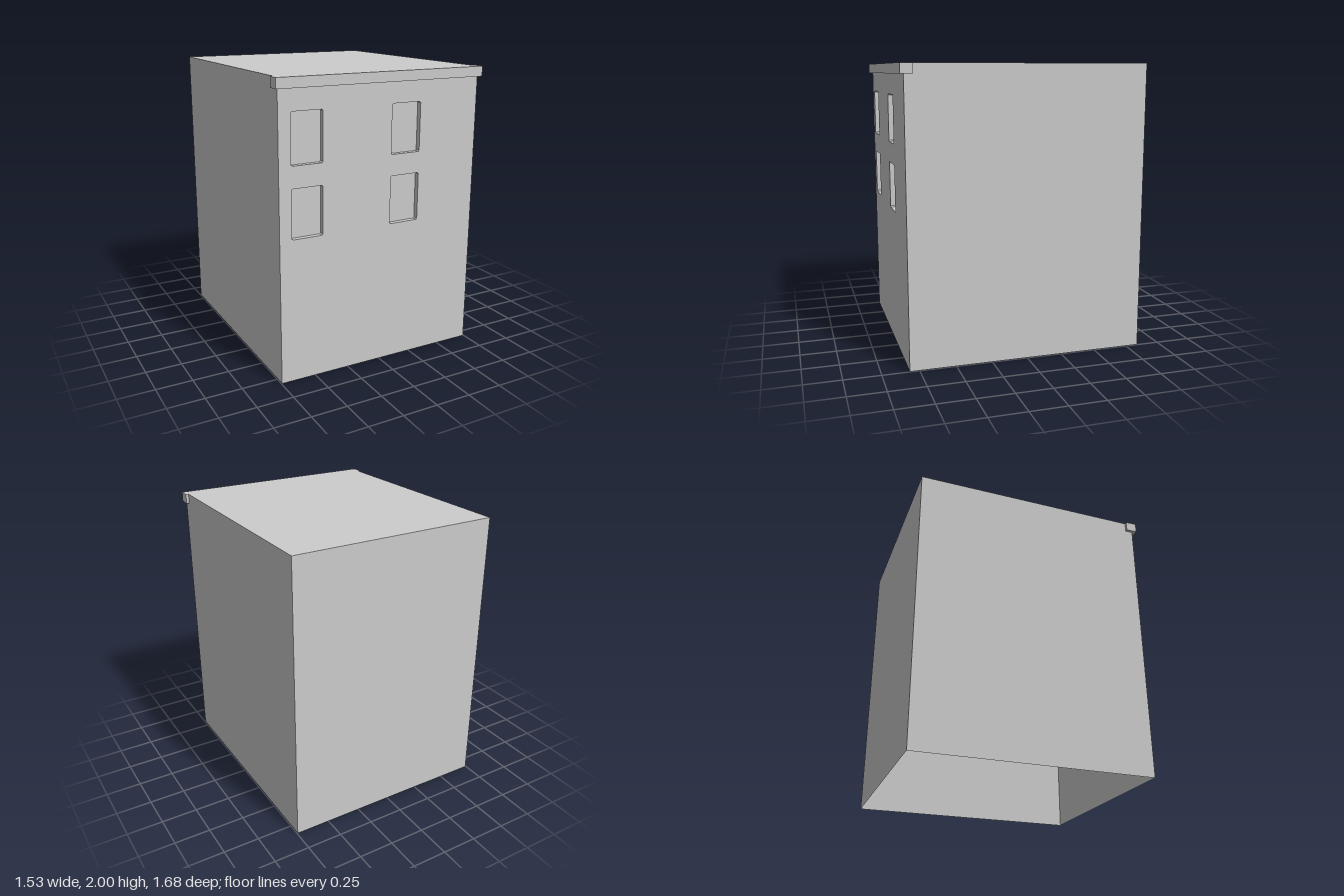
import * as THREE from 'three';

const grey = new THREE.MeshStandardMaterial({ color: 0xcccccc, side: THREE.DoubleSide });
grey.name = 'plain grey';

const W = 0.745, H = 2, FRONT = 0.815, BACK = -0.84, RECESS = 0.035;

function add(parent, name, geometry, x = 0, y = 0, z = 0) {
  const mesh = new THREE.Mesh(geometry, grey);
  mesh.name = name;
  mesh.position.set(x, y, z);
  parent.add(mesh);
  return mesh;
}

// Window outline with slightly softened corners
function outline(x0, y0, x1, y1, r = 0.008) {
  return [
    [x0 + r, y0], [x1 - r, y0], [x1, y0 + r], [x1, y1 - r],
    [x1 - r, y1], [x0 + r, y1], [x0, y1 - r], [x0, y0 + r],
  ].map(([x, y]) => new THREE.Vector2(x, y));
}

// Side walls of a window recess, running back from the facade
function revealGeometry(points) {
  const pos = [];
  points.forEach((a, i) => {
    const b = points[(i + 1) % points.length];
    pos.push(a.x, a.y, 0, b.x, b.y, -RECESS, b.x, b.y, 0);
    pos.push(a.x, a.y, 0, a.x, a.y, -RECESS, b.x, b.y, -RECESS);
  });
  const g = new THREE.BufferGeometry();
  g.setAttribute('position', new THREE.Float32BufferAttribute(pos, 3));
  g.computeVertexNormals();
  return g;
}

export function createModel() {
  const model = new THREE.Group();
  model.name = 'building';
  const depth = FRONT - BACK, midZ = (FRONT + BACK) / 2;

  // Hollow shell, open at the bottom
  add(model, 'roof', new THREE.PlaneGeometry(2 * W, depth).rotateX(-Math.PI / 2), 0, H, midZ);
  add(model, 'backWall', new THREE.PlaneGeometry(2 * W, H).rotateY(Math.PI), 0, H / 2, BACK);
  for (const s of [-1, 1]) {
    add(model, s > 0 ? 'leftWall' : 'rightWall',
      new THREE.PlaneGeometry(depth, H).rotateY(s * Math.PI / 2), s * W, H / 2, midZ);
  }

  // Facade with four recessed windows
  const facade = new THREE.Shape([
    new THREE.Vector2(-W, 0), new THREE.Vector2(W, 0),
    new THREE.Vector2(W, H), new THREE.Vector2(-W, H),
  ]);
  for (const [x0, x1] of [[-0.66, -0.44], [0.065, 0.285]]) {
    for (const [y0, y1] of [[0.98, 1.31], [1.455, 1.79]]) {
      const points = outline(x0, y0, x1, y1);
      facade.holes.push(new THREE.Path(points));
      const window = new THREE.Group();
      window.name = 'window';
      add(window, 'windowReveal', revealGeometry(points), 0, 0, FRONT);
      add(window, 'windowPane', new THREE.ShapeGeometry(new THREE.Shape(points)), 0, 0, FRONT - RECESS);
      model.add(window);
    }
  }
  add(model, 'frontWall', new THREE.ShapeGeometry(facade), 0, 0, FRONT);

  // Cornice along the top of the facade, wrapping the corners
  add(model, 'cornice', new THREE.BoxGeometry(1.53, 0.068, 0.08), 0, H - 0.034, 0.8);
  return model;
}
